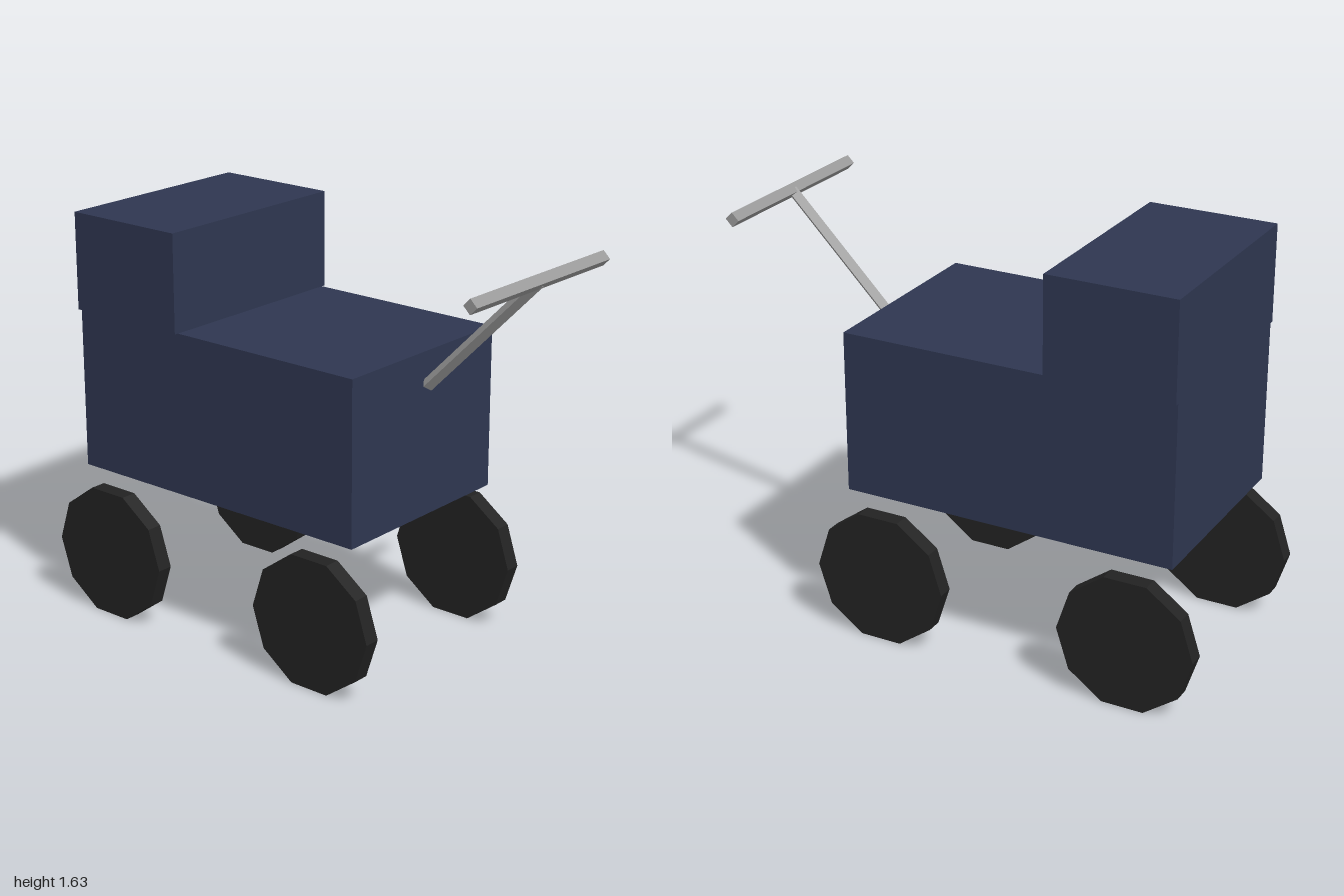
import * as THREE from 'three';

const paint = (name, color) => {
  const m = new THREE.MeshStandardMaterial({ color });
  m.name = name;
  return m;
};

export function createModel() {
  const cart = new THREE.Group();
  cart.name = 'pushCart';
  const navy = paint('navy', 0x2e3650);
  const rubber = paint('black rubber', 0x222222);
  const metal = paint('grey metal', 0x999999);

  const add = (name, geometry, material) => {
    const mesh = new THREE.Mesh(geometry, material);
    mesh.name = name;
    cart.add(mesh);
    return mesh;
  };

  // Box given by its lower and upper corners in x and y, centred on z
  const box = (name, x0, x1, y0, y1, depth) =>
    add(name, new THREE.BoxGeometry(x1 - x0, y1 - y0, depth), navy)
      .position.set((x0 + x1) / 2, (y0 + y1) / 2, 0);

  // Body and the slightly wider raised block
  box('body', -0.885, 0.478, 0.592, 1.242, 0.842);
  box('raisedBlock', -0.885, -0.367, 1.242, 1.632, 0.876);

  // Ten-sided wheels, one corner pointing forward, flat side down
  const wheelGeometry = new THREE.CylinderGeometry(0.276, 0.276, 0.065, 10).toNonIndexed();
  wheelGeometry.rotateY(Math.PI / 2).rotateX(Math.PI / 2);
  wheelGeometry.computeVertexNormals();
  for (const [end, x] of [['rear', -0.725], ['front', 0.318]]) {
    for (const [side, z] of [['Left', -0.442], ['Right', 0.442]]) {
      add(`${end}Wheel${side}`, wheelGeometry, rubber).position.set(x, 0.2625, z);
    }
  }

  // Four-sided bar running between two points
  const bar = (name, from, to, radius) => {
    const dir = to.clone().sub(from);
    const geometry = new THREE.CylinderGeometry(radius, radius, dir.length(), 4).toNonIndexed();
    geometry.computeVertexNormals();
    const mesh = add(name, geometry, metal);
    mesh.position.copy(from).add(to).multiplyScalar(0.5);
    mesh.quaternion.setFromUnitVectors(new THREE.Vector3(0, 1, 0), dir.normalize());
  };

  // Push handle
  bar('handleShaft', new THREE.Vector3(0.492, 1.115, 0), new THREE.Vector3(0.967, 1.597, 0), 0.025);
  bar('handleGrip', new THREE.Vector3(0.968, 1.597, -0.405), new THREE.Vector3(0.968, 1.597, 0.405), 0.029);

  return cart;
}
